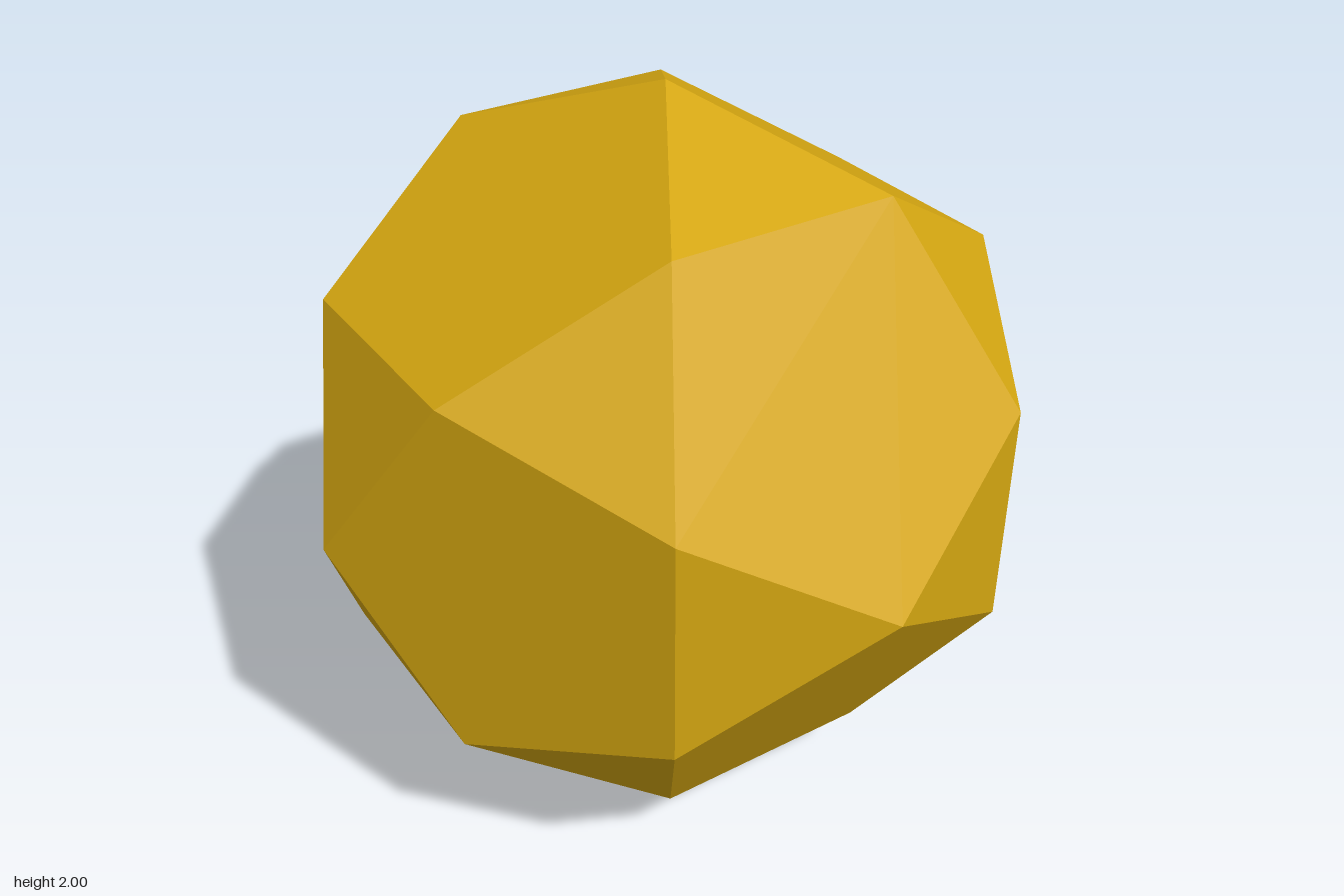
import * as THREE from 'three';
import { ConvexGeometry } from 'three/addons/geometries/ConvexGeometry.js';

// Icosidodecahedron corners: 6 on the axes, 24 from cyclic sign permutations
function icosidodecahedronCorners(radius) {
  const phi = (1 + Math.sqrt(5)) / 2;
  const base = [0.5, phi / 2, 1 / (2 * phi)];
  const corners = [];
  const signs = [-1, 1];
  for (let axis = 0; axis < 3; axis++) {
    for (const s of signs) {
      corners.push(new THREE.Vector3().setComponent(axis, s * radius));
    }
    for (const sx of signs) for (const sy of signs) for (const sz of signs) {
      corners.push(new THREE.Vector3(
        sx * base[axis],
        sy * base[(axis + 1) % 3],
        sz * base[(axis + 2) % 3]
      ).multiplyScalar(radius));
    }
  }
  return corners;
}

export function createModel() {
  const model = new THREE.Group();
  model.name = 'icosidodecahedron';

  const gold = new THREE.MeshStandardMaterial({ color: 0xd4a611 });
  gold.name = 'gold';

  // Faceted solid of 12 pentagons and 20 triangles, standing on one corner
  const geometry = new ConvexGeometry(icosidodecahedronCorners(1));
  geometry.rotateY(-0.29);
  geometry.translate(0, 1, 0);

  const solid = new THREE.Mesh(geometry, gold);
  solid.name = 'facetedSolid';
  model.add(solid);
  return model;
}
